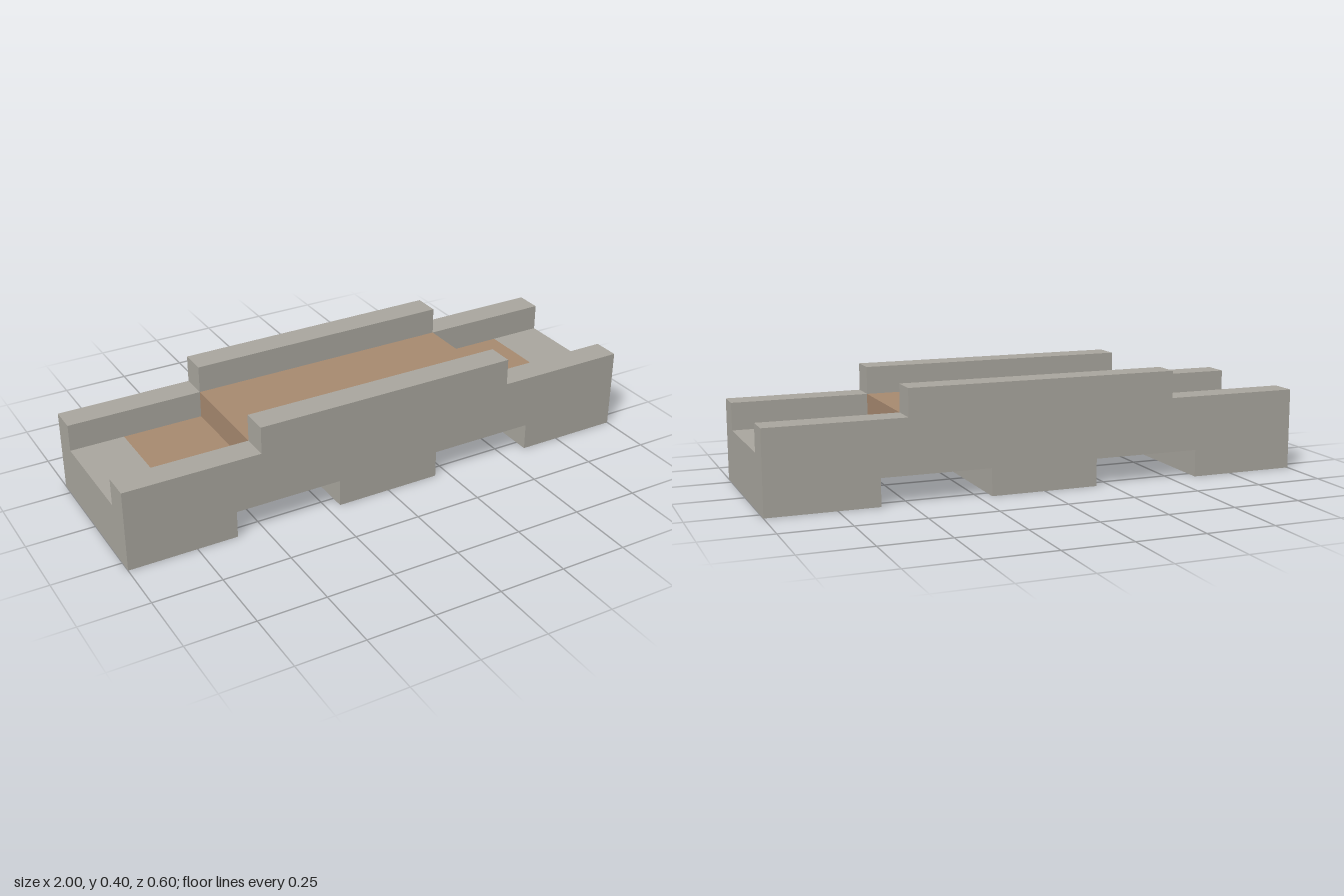
import * as THREE from 'three';

const stone = new THREE.MeshStandardMaterial({ color: 0xaaa79f, side: THREE.DoubleSide });
const wood = new THREE.MeshStandardMaterial({ color: 0xa88a70, side: THREE.DoubleSide });

export function createModel() {
  const model = new THREE.Group();
  model.name = 'steppedTrough';

  const add = (name, geometry, material = stone) => {
    const mesh = new THREE.Mesh(geometry, material);
    mesh.name = name;
    model.add(mesh);
  };
  // Horizontal panel facing up
  const deck = (name, x0, x1, z0, z1, y, material) => add(name,
    new THREE.PlaneGeometry(x1 - x0, z1 - z0).rotateX(-Math.PI / 2)
      .translate((x0 + x1) / 2, y, (z0 + z1) / 2), material);
  // Upright panel across the model, facing +x or -x
  const across = (name, x, y0, y1, z0, z1, dir, material) => add(name,
    new THREE.PlaneGeometry(z1 - z0, y1 - y0).rotateY(dir * Math.PI / 2)
      .translate(x, (y0 + y1) / 2, (z0 + z1) / 2), material);
  // Upright panel along the model, facing +z or -z
  const along = (name, x0, x1, y0, y1, z, dir) => add(name,
    new THREE.PlaneGeometry(x1 - x0, y1 - y0).rotateY(dir > 0 ? 0 : Math.PI)
      .translate((x0 + x1) / 2, (y0 + y1) / 2, z));

  // Side silhouette: three feet below, raised middle above
  const half = [[0.2, 0], [0.2, 0.1], [0.6, 0.1], [0.6, 0], [1, 0], [1, 0.3], [0.5, 0.3], [0.5, 0.4]];
  const mirrored = half.map(([x, y]) => [-x, y]).reverse();
  const outline = new THREE.Shape([...half, ...mirrored].map(([x, y]) => new THREE.Vector2(x, y)));

  // Long sides: the shell is hollow and open underneath
  for (const s of [1, -1]) {
    const wall = new THREE.ShapeGeometry(outline);
    if (s < 0) wall.rotateY(Math.PI);
    add(s > 0 ? 'frontWall' : 'backWall', wall.translate(0, 0, s * 0.3));

    const z0 = s > 0 ? 0.2 : -0.3;
    deck('highRailTop', -0.5, 0.5, z0, z0 + 0.1, 0.4);
    along('highRailInside', -0.5, 0.5, 0.3, 0.4, s * 0.2, -s);
    for (const e of [1, -1]) {
      const x0 = e > 0 ? 0.5 : -1;
      deck('lowRailTop', x0, x0 + 0.5, z0, z0 + 0.1, 0.3);
      along('lowRailInside', x0, x0 + 0.5, 0.2, 0.3, s * 0.2, -s);
      across('highRailEnd', e * 0.5, 0.3, 0.4, z0, z0 + 0.1, e);
    }
  }

  // Channel floor with its raised middle
  deck('raisedFloor', -0.5, 0.5, -0.2, 0.2, 0.3, wood);
  for (const e of [1, -1]) {
    across('floorStep', e * 0.5, 0.2, 0.3, -0.2, 0.2, e, wood);
    deck('lowFloor', e > 0 ? 0.5 : -0.8, e > 0 ? 0.8 : -0.5, -0.2, 0.2, 0.2, wood);
    deck('endFloor', e > 0 ? 0.8 : -1, e > 0 ? 1 : -0.8, -0.2, 0.2, 0.2);

    // End wall, rail ends and the cross walls of the feet
    across('endWall', e, 0, 0.2, -0.3, 0.3, e);
    across('lowRailEnd', e, 0.2, 0.3, 0.2, 0.3, e);
    across('lowRailEnd', e, 0.2, 0.3, -0.3, -0.2, e);
    across('endFootWall', e * 0.6, 0, 0.1, -0.3, 0.3, -e);
    across('middleFootWall', e * 0.2, 0, 0.1, -0.3, 0.3, e);
  }
  return model;
}
